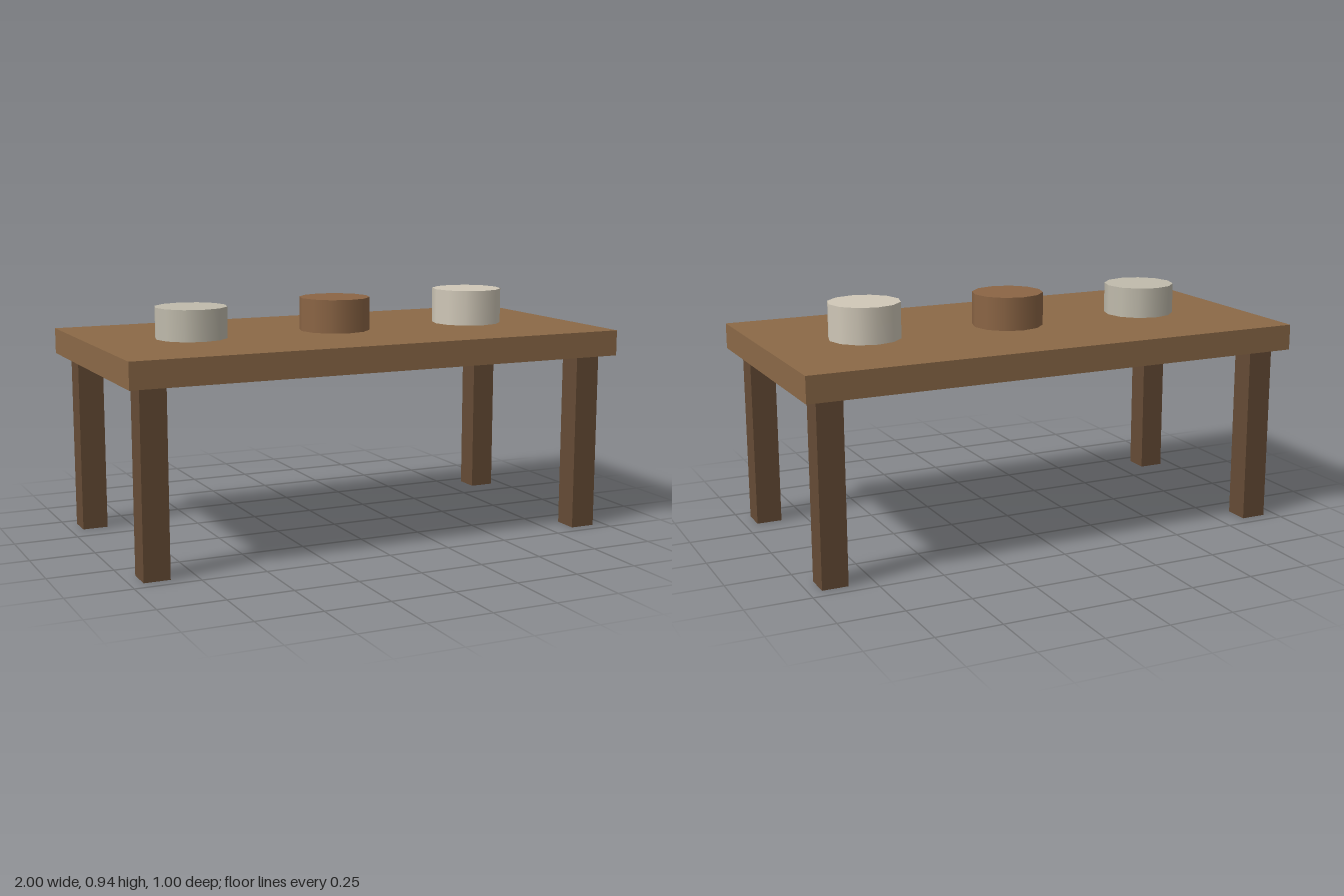
import * as THREE from 'three';

const material = (color) => new THREE.MeshStandardMaterial({ color });

export function createModel() {
  const model = new THREE.Group();
  model.name = 'table';

  const add = (name, geometry, mat, x, y, z) => {
    const mesh = new THREE.Mesh(geometry, mat);
    mesh.name = name;
    mesh.position.set(x, y, z);
    model.add(mesh);
  };

  // Table top
  add('tableTop', new THREE.BoxGeometry(2, 0.1, 1), material(0x8b6947), 0, 0.75, 0);

  // Four square legs
  const legGeometry = new THREE.BoxGeometry(0.1, 0.7, 0.1);
  const legMaterial = material(0x654b35);
  for (const [side, x] of [['Right', -0.9], ['Left', 0.9]]) {
    for (const [end, z] of [['front', 0.4], ['back', -0.4]]) {
      add(`${end}${side}Leg`, legGeometry, legMaterial, x, 0.35, z);
    }
  }

  // Three round dishes of rising height, standing on the top
  const dishes = [
    ['rightDish', -0.6, 0.12, 0xc0bbac],
    ['middleDish', 0, 0.13, 0x8b6545],
    ['leftDish', 0.6, 0.14, 0xd0c8b8],
  ];
  for (const [name, x, height, color] of dishes) {
    const geometry = new THREE.CylinderGeometry(0.14, 0.14, height, 12);
    add(name, geometry, material(color), x, 0.8 + height / 2, 0);
  }

  return model;
}
